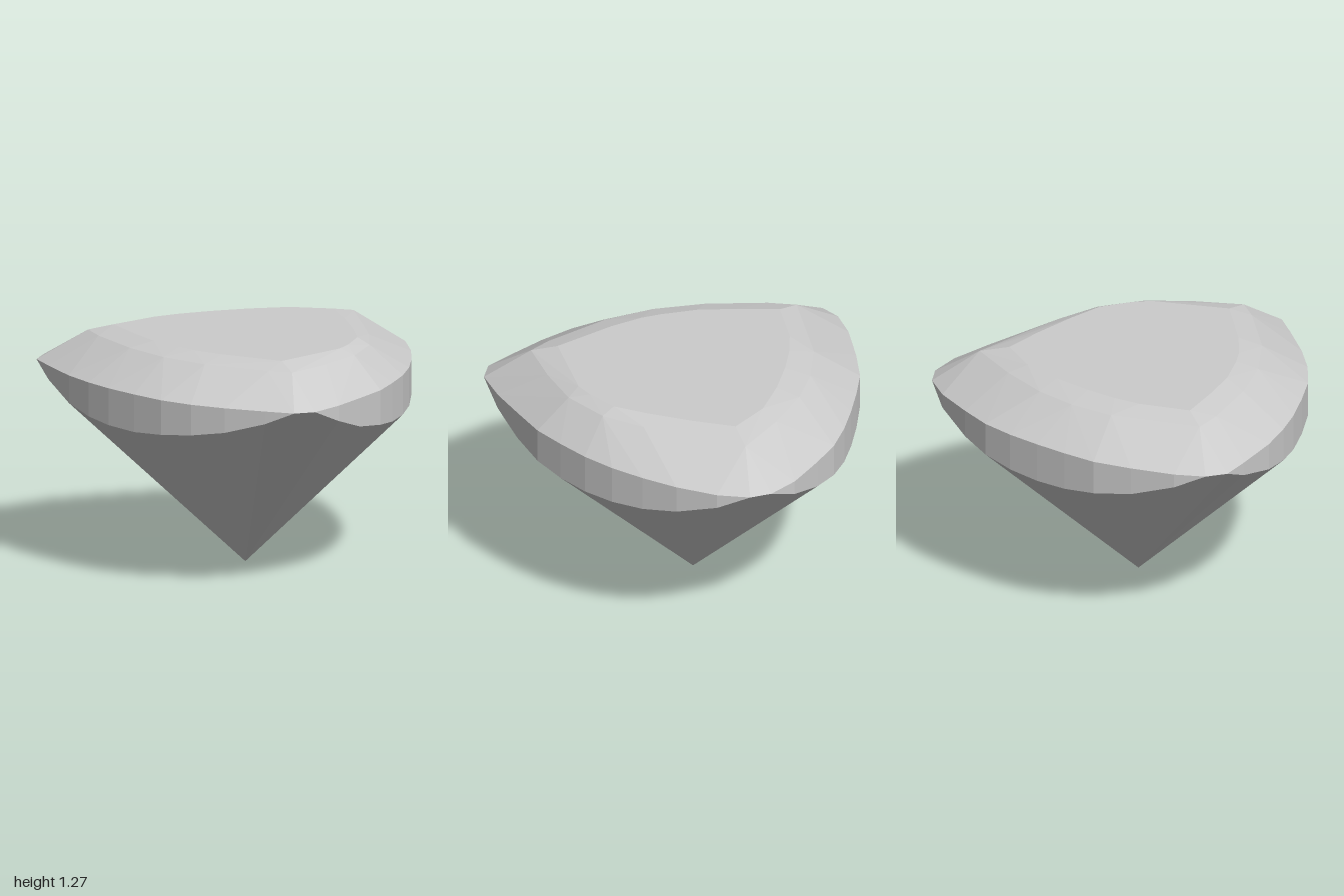
import * as THREE from 'three';
import { ConvexGeometry } from 'three/addons/geometries/ConvexGeometry.js';

// Outlines as [x, z], running from the back tip round the left side, front and right side
const GIRDLE = [
  [0.06, -1], [0.22, -0.92], [0.4, -0.77], [0.54, -0.62], [0.66, -0.47], [0.76, -0.31], [0.84, -0.14],
  [0.91, 0.03], [0.952, 0.24], [0.99, 0.45], [1, 0.65], [0.94, 0.75], [0.79, 0.82], [0.58, 0.91],
  [0.39, 0.97], [0.2, 1], [0, 0.995], [-0.2, 0.98], [-0.37, 0.95], [-0.56, 0.9], [-0.8, 0.8],
  [-0.95, 0.73], [-1, 0.62], [-1, 0.45], [-0.96, 0.21], [-0.91, 0], [-0.83, -0.17], [-0.745, -0.33],
  [-0.65, -0.49], [-0.54, -0.64], [-0.4, -0.77], [-0.22, -0.92], [-0.06, -1],
];
const STEP = [
  [0, -0.75], [0.26, -0.54], [0.45, -0.38], [0.62, -0.2], [0.73, 0.04], [0.76, 0.3], [0.76, 0.57],
  [0.64, 0.63], [0.28, 0.74], [0, 0.76], [-0.28, 0.72], [-0.6, 0.62], [-0.74, 0.55],
  [-0.67, 0.06], [-0.57, -0.17], [-0.44, -0.36], [-0.24, -0.56],
];
const TABLE = [
  [0, -0.59], [0.2, -0.46], [0.4, -0.31], [0.55, -0.18], [0.63, -0.02], [0.66, 0.08], [0.63, 0.51],
  [0.29, 0.61], [0.11, 0.64], [0, 0.64], [-0.2, 0.62], [-0.4, 0.56], [-0.62, 0.48],
  [-0.58, 0.2], [-0.53, 0.06], [-0.45, -0.1], [-0.34, -0.28], [-0.2, -0.46],
];
const GIRDLE_Y = 1.07, STEP_Y = 1.235, TABLE_Y = 1.27;
const CULET = new THREE.Vector3(0, 0, 0.11);

const ring = (outline, y) => outline.map(([x, z]) => new THREE.Vector3(x, y, z));

// Lower girdle edge: scalloped, rising to the upper edge at the three corners
function scallop([x, z]) {
  const r = Math.hypot(x, z - CULET.z);
  const d = r - 0.88;
  const y = r > 1.1 ? GIRDLE_Y : 0.86 + 0.57 * d + 1.08 * d * d;
  return new THREE.Vector3(x, Math.min(y, GIRDLE_Y), z);
}

function facets(triangles) {
  const geometry = new THREE.BufferGeometry().setFromPoints(triangles);
  geometry.computeVertexNormals();
  return geometry;
}

export function createModel() {
  const gem = new THREE.Group();
  gem.name = 'gemstone';
  const material = new THREE.MeshStandardMaterial({ color: 0xcccccc, flatShading: true });
  const add = (name, geometry) => {
    const mesh = new THREE.Mesh(geometry, material);
    mesh.name = name;
    gem.add(mesh);
  };

  // Crown: bevels rising from the girdle to the flat table
  add('crown', new ConvexGeometry([
    ...ring(GIRDLE, GIRDLE_Y), ...ring(STEP, STEP_Y), ...ring(TABLE, TABLE_Y),
  ]));

  // Girdle wall and the pavilion facets that meet at the bottom point
  const upper = ring(GIRDLE, GIRDLE_Y);
  const lower = GIRDLE.map(scallop);
  const wall = [], pavilion = [];
  for (let i = 0; i < upper.length; i++) {
    const j = (i + 1) % upper.length;
    if (lower[i].y < GIRDLE_Y) wall.push(upper[i], upper[j], lower[i]);
    if (lower[j].y < GIRDLE_Y) wall.push(upper[j], lower[j], lower[i]);
    pavilion.push(lower[i], lower[j], CULET);
  }
  add('girdle', facets(wall));
  add('pavilion', facets(pavilion));
  return gem;
}
